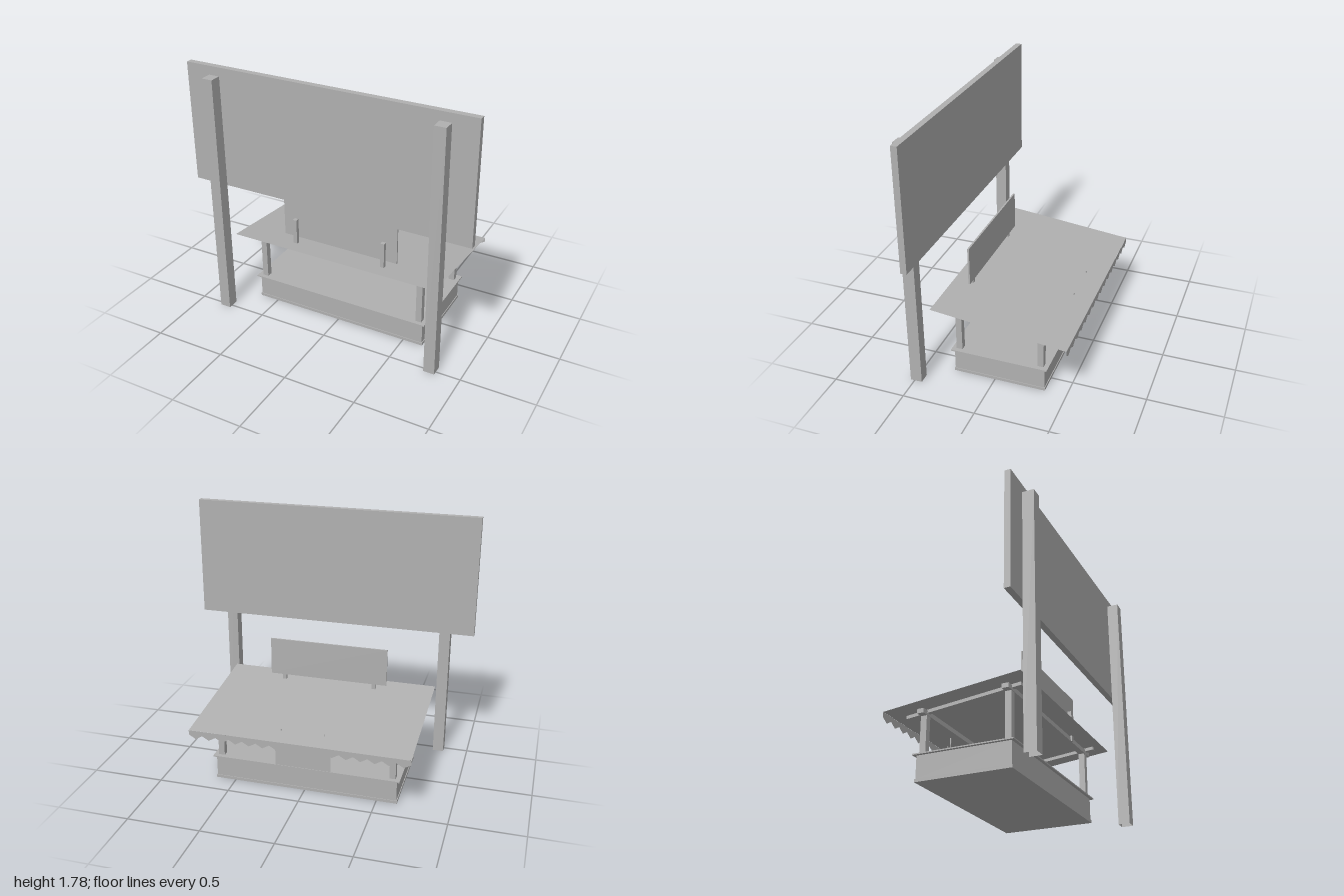
import * as THREE from 'three';

export function createModel() {
  const model = new THREE.Group();
  model.name = 'marketStall';
  const grey = new THREE.MeshStandardMaterial({ color: 0xb0b0b0, side: THREE.DoubleSide });
  grey.name = 'plainGrey';

  function add(name, geometry, parent = model) {
    const mesh = new THREE.Mesh(geometry, grey);
    mesh.name = name;
    parent.add(mesh);
    return mesh;
  }
  // Box given by its limits on each axis
  function box(name, x0, x1, y0, y1, z0, z1) {
    const g = new THREE.BoxGeometry(x1 - x0, y1 - y0, z1 - z0);
    g.translate((x0 + x1) / 2, (y0 + y1) / 2, (z0 + z1) / 2);
    return add(name, g);
  }

  // Roof line: height falls from front to back
  const roofFront = 0.397, roofBack = -0.525, yFront = 0.54, yBack = 0.44;
  const slope = Math.atan2(yFront - yBack, roofFront - roofBack);
  const roofY = z => yBack + (z - roofBack) * Math.tan(slope);

  // Billboard and its tall posts, open at the foot
  box('billboard', -1, 1, 0.948, 1.78, 0.406, 0.448);
  for (const s of [-1, 1]) {
    const post = box('billboardPost', s * 0.793 - 0.038, s * 0.793 + 0.038, 0, 1.72, 0.448, 0.528);
    const index = Array.from(post.geometry.index.array);
    index.splice(18, 6);
    post.geometry.setIndex(index);
    post.geometry.clearGroups();
  }

  // Counter base
  box('plinth', -0.64, 0.64, 0, 0.02, -0.351, 0.292);
  box('base', -0.635, 0.635, 0.02, 0.168, -0.346, 0.287);
  box('counterTop', -0.655, 0.655, 0.168, 0.176, -0.366, 0.308);

  // Frame: four posts, two cross beams, two sloping rafters
  for (const [z, top] of [[0.258, 0.518], [-0.314, 0.457]]) {
    for (const s of [-1, 1]) {
      box('framePost', s * 0.602 - 0.021, s * 0.602 + 0.021, 0.176, top, z - 0.021, z + 0.021);
    }
    box('crossBeam', -0.67, 0.67, top - 0.03, top, z - 0.021, z + 0.024);
  }
  for (const s of [-1, 1]) {
    const rafter = add('rafter', new THREE.BoxGeometry(0.03, 0.022, 0.785));
    rafter.position.set(s * 0.605, roofY(-0.05) - 0.012, -0.05);
    rafter.rotation.x = -slope;
  }

  // Thin sloping roof sheet
  const length = Math.hypot(roofFront - roofBack, yFront - yBack);
  const sheet = new THREE.PlaneGeometry(1.506, length);
  sheet.rotateX(-Math.PI / 2 - slope);
  sheet.translate(0, (yFront + yBack) / 2, (roofFront + roofBack) / 2);
  add('roofSheet', sheet);

  // Valance with pointed teeth
  const teeth = 16, half = 0.753, step = (2 * half) / teeth;
  const outline = new THREE.Shape();
  outline.moveTo(half, yBack);
  outline.lineTo(-half, yBack);
  for (let i = 0; i < teeth; i++) {
    outline.lineTo(-half + i * step, 0.408);
    outline.lineTo(-half + (i + 0.5) * step, 0.38);
  }
  outline.lineTo(half, 0.408);
  outline.closePath();
  add('valance', new THREE.ShapeGeometry(outline)).position.z = roofBack - 0.001;

  // Roof sign on two brackets
  box('roofSign', -0.427, 0.427, 0.568, 0.838, 0.252, 0.264);
  for (const s of [-1, 1]) {
    box('signBracket', s * 0.332 - 0.014, s * 0.332 + 0.014, 0.49, 0.708, 0.264, 0.291);
  }

  // Hanging sign on two cords
  box('hangingSign', -0.192, 0.192, 0.193, 0.383, -0.39, -0.384);
  for (const s of [-1, 1]) {
    box('signCord', s * 0.15 - 0.003, s * 0.15 + 0.003, 0.383, 0.468, -0.39, -0.384);
  }

  return model;
}
